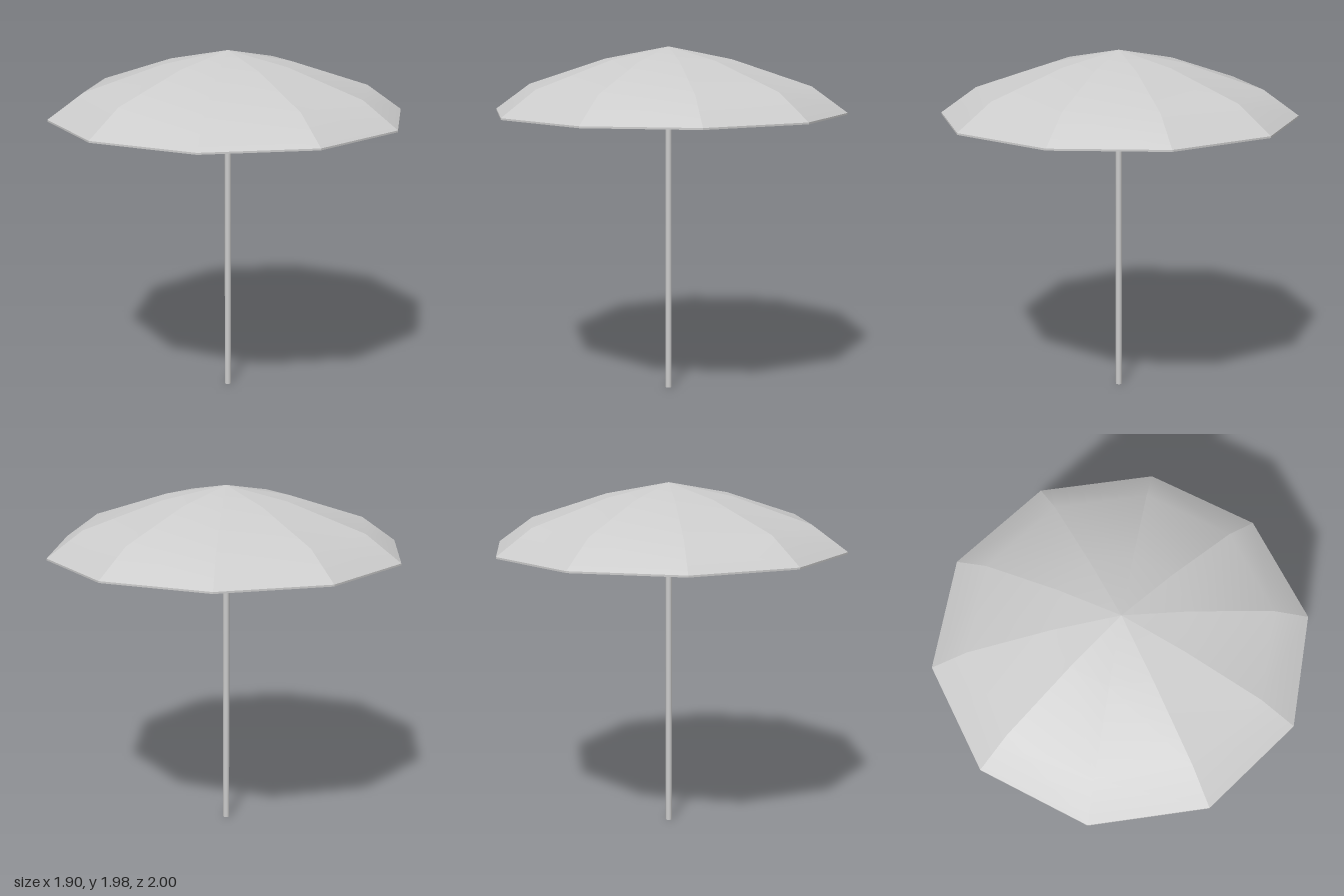
import * as THREE from 'three';

const SIDES = 10;
const THICK = 0.01;
// canopy rib profile: [radius, height] from apex to rim
const RIB = [[0, 1.975], [0.36, 1.905], [0.8, 1.76], [1, 1.616]];

const material = new THREE.MeshStandardMaterial({ color: 0xcccccc });

// strip of quads between two ribs, smooth along the rib; rows run from apex to rim
function panelGeometry(profile, a0, a1, inward) {
  const pos = [], index = [];
  for (const [r, y] of profile) {
    for (const a of [a0, a1]) pos.push(r * Math.sin(a), y, r * Math.cos(a));
  }
  for (let i = 0; i < profile.length - 1; i++) {
    const a = 2 * i, b = a + 1, c = a + 2, d = a + 3;
    const tris = profile[i][0] === 0 ? [[a, c, d]] : [[a, c, d], [a, d, b]];
    for (const [p, q, r] of tris) index.push(...(inward ? [p, r, q] : [p, q, r]));
  }
  const g = new THREE.BufferGeometry();
  g.setAttribute('position', new THREE.Float32BufferAttribute(pos, 3));
  g.setIndex(index);
  g.computeVertexNormals();
  // the apex row shares one normal
  if (profile[0][0] === 0) {
    const n = g.attributes.normal;
    n.setXYZ(1, n.getX(0), n.getY(0), n.getZ(0));
  }
  return g;
}

export function createModel() {
  const model = new THREE.Group();
  const canopy = new THREE.Group();
  canopy.name = 'canopy';
  model.add(canopy);

  const under = RIB.map(([r, y]) => [r, y - THICK]);
  const rim = [RIB[RIB.length - 1], under[under.length - 1]];
  const layers = [
    ['canopyPanel', RIB, false],
    ['canopyLining', under, true],
    ['canopyRim', rim, false],
  ];
  for (let i = 0; i < SIDES; i++) {
    const a0 = (i / SIDES) * Math.PI * 2;
    const a1 = ((i + 1) / SIDES) * Math.PI * 2;
    for (const [name, profile, inward] of layers) {
      const mesh = new THREE.Mesh(panelGeometry(profile, a0, a1, inward), material);
      mesh.name = name;
      canopy.add(mesh);
    }
  }

  // pole from the ground up to the underside of the apex
  const height = RIB[0][1] - THICK;
  const pole = new THREE.Mesh(new THREE.CylinderGeometry(0.018, 0.018, height, 12), material);
  pole.name = 'pole';
  pole.position.y = height / 2;
  model.add(pole);

  return model;
}
